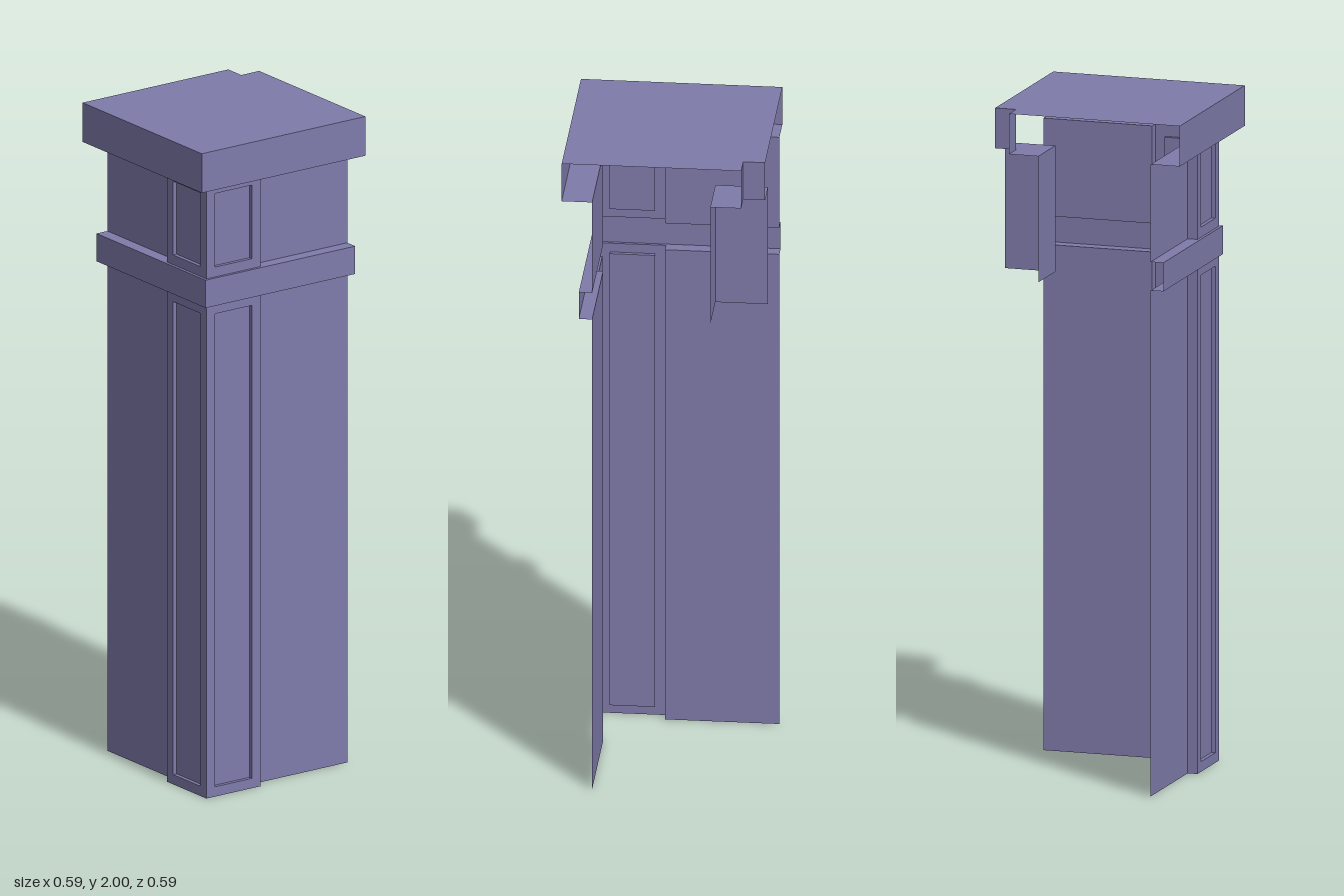
import * as THREE from 'three';

const material = new THREE.MeshStandardMaterial({ color: 0x7f7bab, side: THREE.DoubleSide });

function add(parent, name, geometry) {
  const mesh = new THREE.Mesh(geometry, material);
  mesh.name = name;
  parent.add(mesh);
  return mesh;
}

// Vertical sheet following a plan path of [x, z] points, facing outward
function ribbon(path, y0, y1) {
  const pos = [], index = [];
  for (let i = 0; i < path.length - 1; i++) {
    const [ax, az] = path[i], [bx, bz] = path[i + 1], k = i * 4;
    pos.push(ax, y0, az, ax, y1, az, bx, y1, bz, bx, y0, bz);
    index.push(k, k + 1, k + 2, k, k + 2, k + 3);
  }
  const g = new THREE.BufferGeometry();
  g.setAttribute('position', new THREE.Float32BufferAttribute(pos, 3));
  g.setIndex(index);
  g.computeVertexNormals();
  return g;
}

// Horizontal sheet bounded by [x, z] points, facing up or down
function deck(points, y, up) {
  const s = up ? -1 : 1;
  const shape = new THREE.Shape(points.map(([x, z]) => new THREE.Vector2(x, s * z)));
  return new THREE.ShapeGeometry(shape).rotateX(s * Math.PI / 2).translate(0, y, 0);
}

const between = (a, b) => [...a, ...[...b].reverse()];

function rect(Type, x0, x1, y0, y1) {
  const p = new Type();
  p.moveTo(x0, y0).lineTo(x1, y0).lineTo(x1, y1).lineTo(x0, y1).closePath();
  return p;
}

// Pilaster face in the xy plane with a sunken panel
function panelFace(y0, y1, p0, p1) {
  const half = PILASTER_W / 2, ph = 0.066, depth = 0.012;
  const group = new THREE.Group();
  const face = rect(THREE.Shape, -half, half, y0, y1);
  face.holes.push(rect(THREE.Path, -ph, ph, p0, p1));
  add(group, 'panelFrame', new THREE.ShapeGeometry(face));
  add(group, 'panelReveal', ribbon([[-ph, 0], [-ph, -depth], [ph, -depth], [ph, 0]].reverse(), p0, p1));
  for (const [y, up] of [[p0, true], [p1, false]])
    add(group, 'panelLedge', deck([[-ph, 0], [ph, 0], [ph, -depth], [-ph, -depth]], y, up));
  return group;
}

const END = 0.294, WALL = 0.205, PIL = 0.235, PIL_IN = 0.04, BAND = 0.244;
const PILASTER_W = PIL - PIL_IN;
const BAND_Y0 = 1.505, BAND_Y1 = 1.59, CAP_Y = 1.88, TOP = 2;
const INNER = 0.14, NOTCH = 0.23;

export function createModel() {
  const model = new THREE.Group();
  model.name = 'buildingCorner';

  // Plan outline of walls and corner pilaster, front to right-hand side
  const outline = [[END, WALL], [-PIL_IN, WALL], [-PIL_IN, PIL], [-PIL, PIL],
    [-PIL, PIL_IN], [-WALL, PIL_IN], [-WALL, -END]];
  const bandPath = [[END, BAND], [-BAND, BAND], [-BAND, -END]];
  const capPath = [[END, END], [-END, END], [-END, -END]];

  // Two storeys of wall with panelled pilaster faces
  for (const [name, y0, y1, p0, p1] of [
    ['lower', 0, BAND_Y0, 0.03, 1.477],
    ['upper', BAND_Y1, CAP_Y, 1.62, 1.845],
  ]) {
    const storey = new THREE.Group();
    storey.name = name + 'Storey';
    add(storey, 'frontWall', ribbon(outline.slice(0, 3), y0, y1));
    add(storey, 'sideWall', ribbon(outline.slice(4), y0, y1));
    const mid = (PIL + PIL_IN) / 2;
    const front = panelFace(y0, y1, p0, p1);
    front.name = 'frontPilaster';
    front.position.set(-mid, 0, PIL);
    const side = panelFace(y0, y1, p0, p1);
    side.name = 'sidePilaster';
    side.rotation.y = -Math.PI / 2;
    side.position.set(-PIL, 0, mid);
    storey.add(front, side);
    model.add(storey);
  }

  // Projecting band between the storeys
  add(model, 'bandFace', ribbon(bandPath, BAND_Y0, BAND_Y1));
  add(model, 'bandTop', deck(between(outline, bandPath), BAND_Y1, true));
  add(model, 'bandUnderside', deck(between(outline, bandPath), BAND_Y0, false));

  // Roof cap with a notch over the inner corner
  const notchPath = [[NOTCH, -END], [NOTCH, -NOTCH], [END, -NOTCH]];
  add(model, 'capTop', deck([...capPath, ...notchPath], TOP, true));
  add(model, 'capFascia', ribbon(capPath, CAP_Y, TOP));
  add(model, 'capSoffit', deck(between(outline, capPath), CAP_Y, false));
  add(model, 'notchFascia', ribbon(notchPath, CAP_Y, TOP));

  // Short wall at the inner corner below the notch
  const innerPath = [[INNER, -END], [INNER, -INNER], [END, -INNER]];
  add(model, 'innerCornerWall', ribbon(innerPath, BAND_Y0, CAP_Y));
  add(model, 'innerCornerSoffit', deck(between(innerPath, notchPath), CAP_Y, false));

  return model;
}
